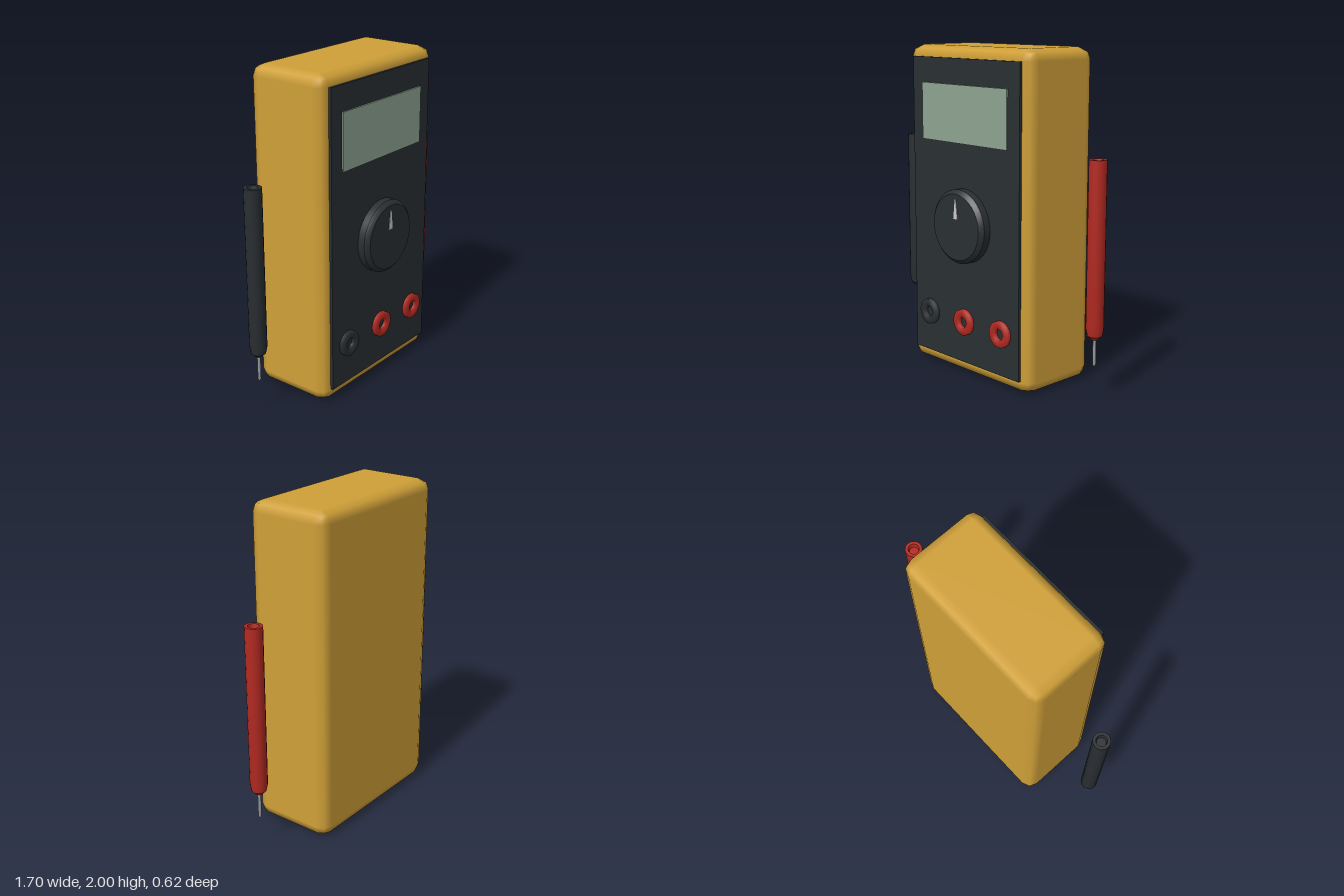
import * as THREE from 'three';
import { RoundedBoxGeometry } from 'three/addons/geometries/RoundedBoxGeometry.js';
import { toCreasedNormals } from 'three/addons/utils/BufferGeometryUtils.js';

const paint = (color, side = THREE.FrontSide) => new THREE.MeshStandardMaterial({ color, side });
const YELLOW = 0xd0a038, DARK = 0x2a2f33, RED = 0xb52a22, SCREEN = 0x8fa592, WHITE = 0xe0e0e0, STEEL = 0x9a9fa3;

export function createModel() {
  const model = new THREE.Group();
  model.name = 'multimeter';

  const add = (name, geometry, color, x, y, z, parent = model) => {
    const mesh = new THREE.Mesh(geometry, paint(color));
    mesh.name = name;
    mesh.position.set(x, y, z);
    parent.add(mesh);
    return mesh;
  };
  // Lathe from [radius, height] pairs, listed bottom to top on the outside
  const lathe = (points, sides = 32, crease = 0.7) =>
    toCreasedNormals(new THREE.LatheGeometry(points.map(([r, h]) => new THREE.Vector2(r, h)), sides), crease);

  // Case with a two-step bevel
  add('case', new RoundedBoxGeometry(1.06, 2, 0.53, 1, 0.07), YELLOW, 0, 1, -0.04);

  // Face plate and display
  add('facePlate', new THREE.BoxGeometry(0.93, 1.85, 0.025), DARK, 0, 1.005, 0.2275);
  add('display', new THREE.BoxGeometry(0.74, 0.345, 0.02), SCREEN, 0, 1.605, 0.24);

  // Rotary selector with bevelled rim
  const knob = lathe([[0.225, 0], [0.225, 0.047], [0.218, 0.057], [0.2, 0.072], [0, 0.072]], 40, 0.6);
  add('selectorKnob', knob.rotateX(Math.PI / 2), DARK, 0, 0.94, 0.238);

  // Tapered pointer on the selector
  const arrow = new THREE.Shape([[-0.018, -0.06], [0.018, -0.06], [0.004, 0.06], [-0.004, 0.06]]
    .map(([x, y]) => new THREE.Vector2(x, y)));
  add('selectorPointer', new THREE.ExtrudeGeometry(arrow, { depth: 0.004, bevelEnabled: false }),
    WHITE, 0, 1.05, 0.309);

  // Input jacks: rings with a funnelled socket
  const ring = new THREE.LatheGeometry(
    [[0.08, 0], [0.08, 0.025], [0.035, 0.025], [0.033, 0.003]].map(([r, h]) => new THREE.Vector2(r, h)), 24)
    .rotateX(Math.PI / 2);
  [['commonJack', -0.32, DARK], ['voltageJack', 0, RED], ['currentJack', 0.32, RED]]
    .forEach(([name, x, color]) => add(name, ring, color, x, 0.34, 0.239));

  // Test probes: hollow-topped handle and a metal tip
  const handle = lathe([[0, 0.36], [0.018, 0.36], [0.044, 0.385], [0.052, 0.425],
    [0.052, 1.4], [0.033, 1.4], [0.028, 1.37], [0, 1.37]], 16, 0.6);
  const tip = lathe([[0, 0.2], [0.006, 0.203], [0.01, 0.215], [0.01, 0.37]], 12);
  [['leftProbe', 0.8, RED], ['rightProbe', -0.8, DARK]].forEach(([name, x, color]) => {
    const probe = new THREE.Group();
    probe.name = name;
    probe.position.set(x, 0, -0.04);
    add('probeHandle', handle, color, 0, 0, 0, probe);
    add('probeTip', tip, STEEL, 0, 0, 0, probe);
    model.add(probe);
  });

  return model;
}
